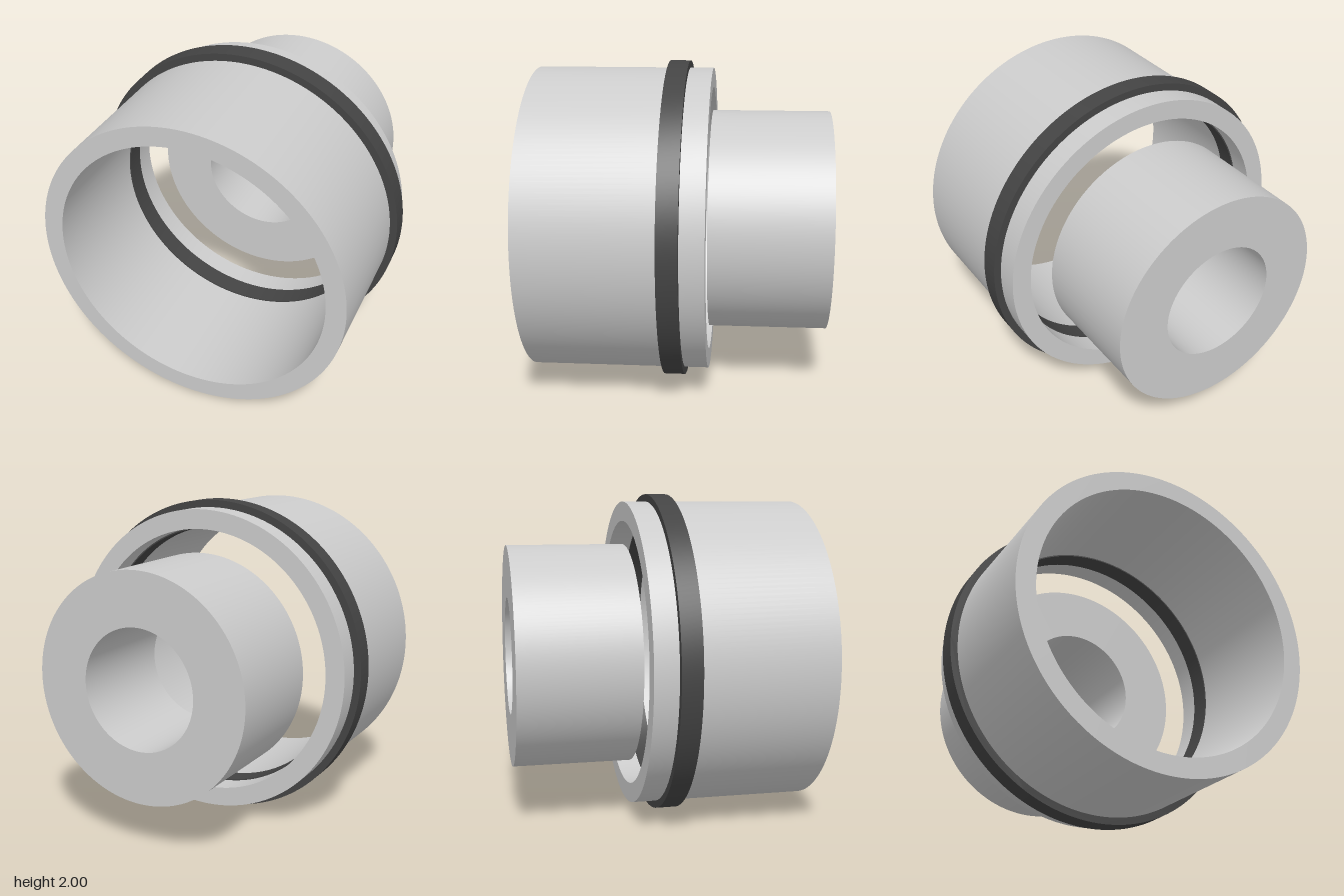
import * as THREE from 'three';
import { toCreasedNormals } from 'three/addons/utils/BufferGeometryUtils.js';

const grey = new THREE.MeshStandardMaterial({ color: 0xcccccc });
const dark = new THREE.MeshStandardMaterial({ color: 0x444444 });

// Hollow cylinder along z, from z0 (back) to z1 (front)
function tube(name, outer, inner, z0, z1, material) {
  const shape = new THREE.Shape().absarc(0, 0, outer, 0, Math.PI * 2, false);
  shape.holes.push(new THREE.Path().absarc(0, 0, inner, 0, Math.PI * 2, true));
  const geometry = new THREE.ExtrudeGeometry(shape, {
    depth: z1 - z0, bevelEnabled: false, curveSegments: 96,
  });
  geometry.translate(0, 1, z0);
  const mesh = new THREE.Mesh(toCreasedNormals(geometry, 0.5), material);
  mesh.name = name;
  return mesh;
}

export function createModel() {
  const group = new THREE.Group();
  group.name = 'tubeAssembly';
  group.add(
    // Wide sleeve, in two lengths either side of the dark ring
    tube('frontSleeve', 0.955, 0.835, 0.09, 0.91, grey),
    tube('rearSleeve', 0.955, 0.835, -0.18, -0.035, grey),
    // Dark ring, proud of the sleeve inside and out
    tube('sealRing', 1, 0.827, -0.035, 0.09, dark),
    // Thick-walled narrow tube at the back
    tube('rearTube', 0.69, 0.366, -0.91, -0.18, grey),
  );
  return group;
}
